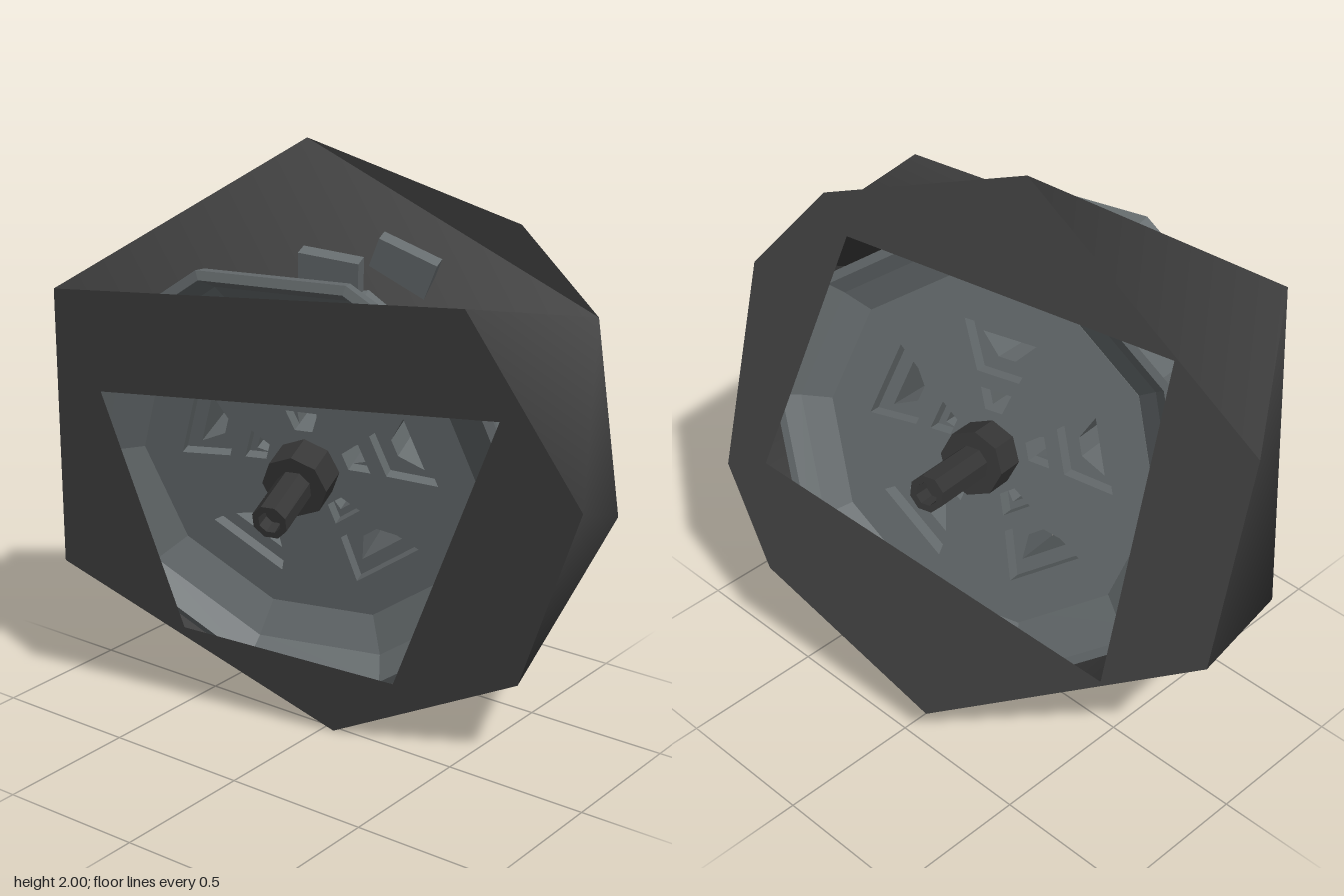
import * as THREE from 'three';

// The wheel is tilted: AXIS is the axle direction
const AXIS = new THREE.Vector3(0.937, 0.235, -0.26).normalize();

// Point with side coordinates z, y on the plane at offset d along the axle
function onPlane(z, y, d) {
  return new THREE.Vector3((d - 0.235 * y + 0.26 * z) / 0.937, y, z);
}

// Sidewall: a polygon with a four-sided opening, laid on a tilted plane
function sidewall(outline, opening, d) {
  const toV2 = (l) => l.map(([z, y]) => new THREE.Vector2(z, y));
  const shape = new THREE.Shape(toV2(outline));
  shape.holes.push(new THREE.Path(toV2(opening)));
  const g = new THREE.ShapeGeometry(shape);
  const p = g.attributes.position;
  for (let i = 0; i < p.count; i++) {
    const v = onPlane(p.getX(i), p.getY(i), d);
    p.setXYZ(i, v.x, v.y, v.z);
  }
  g.computeVertexNormals();
  return g;
}

function faces(points, index) {
  const g = new THREE.BufferGeometry().setFromPoints(points);
  g.setIndex(index.flat());
  g.computeVertexNormals();
  return g;
}

// Lathe about the local z axis, with a flat side up
function turned(profile, sides) {
  const g = new THREE.LatheGeometry(profile.map(([r, t]) => new THREE.Vector2(r, t)), sides);
  return g.rotateX(Math.PI / 2).rotateZ(Math.PI / sides);
}

// Tapered hole around a radial direction
function hole(angle, r0, r1, w0, w1) {
  const c = Math.cos(angle), s = Math.sin(angle);
  const at = (r, w) => new THREE.Vector2(r * c - w * s, r * s + w * c);
  return new THREE.Path([at(r0, -w0), at(r0, w0), at(r1, w1), at(r1, -w1)]);
}

// Ten-sided wheel plate with five large and five small windows
function wheelPlate(z, depth, inset) {
  const shape = new THREE.Shape();
  for (let i = 0; i < 10; i++) {
    const a = i * Math.PI / 5;
    shape[i ? 'lineTo' : 'moveTo'](0.59 * Math.cos(a), 0.59 * Math.sin(a));
  }
  for (let i = 0; i < 5; i++) {
    const a = Math.PI / 2 + i * Math.PI * 0.4;
    shape.holes.push(hole(a, 0.26 + inset, 0.42 - inset, 0.075 - inset, 0.14 - inset));
    shape.holes.push(hole(a, 0.14, 0.21 - inset / 2, 0.03, 0.055 - inset / 2));
  }
  return new THREE.ExtrudeGeometry(shape, { depth, bevelEnabled: false }).translate(0, 0, z);
}

export function createModel() {
  const tyreMat = new THREE.MeshStandardMaterial({ color: 0x404040, side: THREE.DoubleSide });
  tyreMat.name = 'darkRubber';
  const rimMat = new THREE.MeshStandardMaterial({ color: 0x666c6e, flatShading: true });
  rimMat.name = 'greyMetal';
  const axleMat = new THREE.MeshStandardMaterial({ color: 0x363636, flatShading: true });
  axleMat.name = 'darkMetal';

  const model = new THREE.Group();
  model.name = 'wheel';
  const add = (parent, name, geometry, material) => {
    const m = new THREE.Mesh(geometry, material);
    m.name = name;
    parent.add(m);
  };

  // Sidewall outlines as [z, y]
  const left = [[-0.1, 2], [0.76, 1.48], [0.76, 0.76], [0.55, 0.44], [-0.1, 0.13], [-0.97, 0.66], [-0.97, 1.37]];
  const right = [[0.69, 1.64], [0.97, 1], [0.7, 0.32], [0.04, 0], [-0.82, 0.53], [-0.62, 1.56]];
  const dL = 0.518, dR = -0.032;
  const tyre = new THREE.Group();
  tyre.name = 'tyre';
  model.add(tyre);
  add(tyre, 'leftSidewall', sidewall(left,
    [[0.45, 1.655], [0.62, 0.81], [-0.655, 0.485], [-0.655, 1.585]], dL), tyreMat);
  add(tyre, 'rightSidewall', sidewall(right,
    [[-0.54, 1.21], [0.75, 1.28], [0.28, 0.24], [-0.43, 0.33]], dR), tyreMat);

  // Tread: 0-6 are the left outline, 7-12 the right one; the last two faces form the top notch
  const ring = [...left.map(([z, y]) => onPlane(z, y, dL)), ...right.map(([z, y]) => onPlane(z, y, dR))];
  add(tyre, 'tread', faces(ring, [
    [1, 7, 8], [1, 8, 2], [2, 8, 9], [2, 9, 3], [3, 9, 10], [3, 10, 4],
    [4, 10, 11], [4, 11, 5], [5, 11, 12], [5, 12, 6], [6, 12, 0],
    [0, 12, 1], [1, 12, 7],
  ]), tyreMat);
  add(tyre, 'shoulder', faces([ring[0], onPlane(0.55, 1.77, dL), ring[1]], [[0, 1, 2]]), tyreMat);

  // Rim, hub and axle share a frame whose z axis is the axle
  const core = new THREE.Group();
  core.name = 'rimAndAxle';
  const up = new THREE.Vector3(0, 1, 0).addScaledVector(AXIS, -AXIS.y).normalize();
  const side = new THREE.Vector3().crossVectors(up, AXIS);
  core.quaternion.setFromRotationMatrix(new THREE.Matrix4().makeBasis(side, up, AXIS));
  core.position.set(0.02, 1, -0.03);
  model.add(core);

  add(core, 'rimBarrel', turned([
    [0.76, -0.28], [0.79, -0.27], [0.77, -0.22], [0.58, -0.14], [0.58, 0.14], [0.72, 0.2], [0.76, 0.24],
    [0.73, 0.24], [0.68, 0.2], [0.56, 0.13], [0.56, -0.14], [0.7, -0.21], [0.76, -0.28],
  ], 10), rimMat);

  // Wheel plates; the middle one narrows the windows
  add(core, 'leftWheelPlate', wheelPlate(0.1, 0.05, 0), rimMat);
  add(core, 'middleWheelPlate', wheelPlate(-0.11, 0.21, 0.045), rimMat);
  add(core, 'rightWheelPlate', wheelPlate(-0.15, 0.04, 0), rimMat);

  // Rim pieces standing up through the notch: local x, axial position, lean
  for (const [x, z, lean] of [[-0.27, 0.12, 0.4], [-0.07, 0.02, 0.1]]) {
    const tab = new THREE.BoxGeometry(0.2, 0.18, 0.05).rotateZ(lean).translate(x, 0.6, z);
    add(core, 'rimTab', tab, rimMat);
  }

  // Hub collars and the hollow-ended axle
  for (const s of [-1, 1]) {
    const collar = new THREE.CylinderGeometry(0.11, 0.11, 0.17, 8).rotateX(Math.PI / 2).translate(0, 0, s * 0.18);
    add(core, s > 0 ? 'leftHub' : 'rightHub', collar, axleMat);
  }
  add(core, 'axle', turned([
    [0, -0.42], [0.035, -0.42], [0.038, -0.47], [0.06, -0.47],
    [0.06, 0.54], [0.038, 0.54], [0.035, 0.48], [0, 0.48],
  ], 8), axleMat);

  return model;
}
